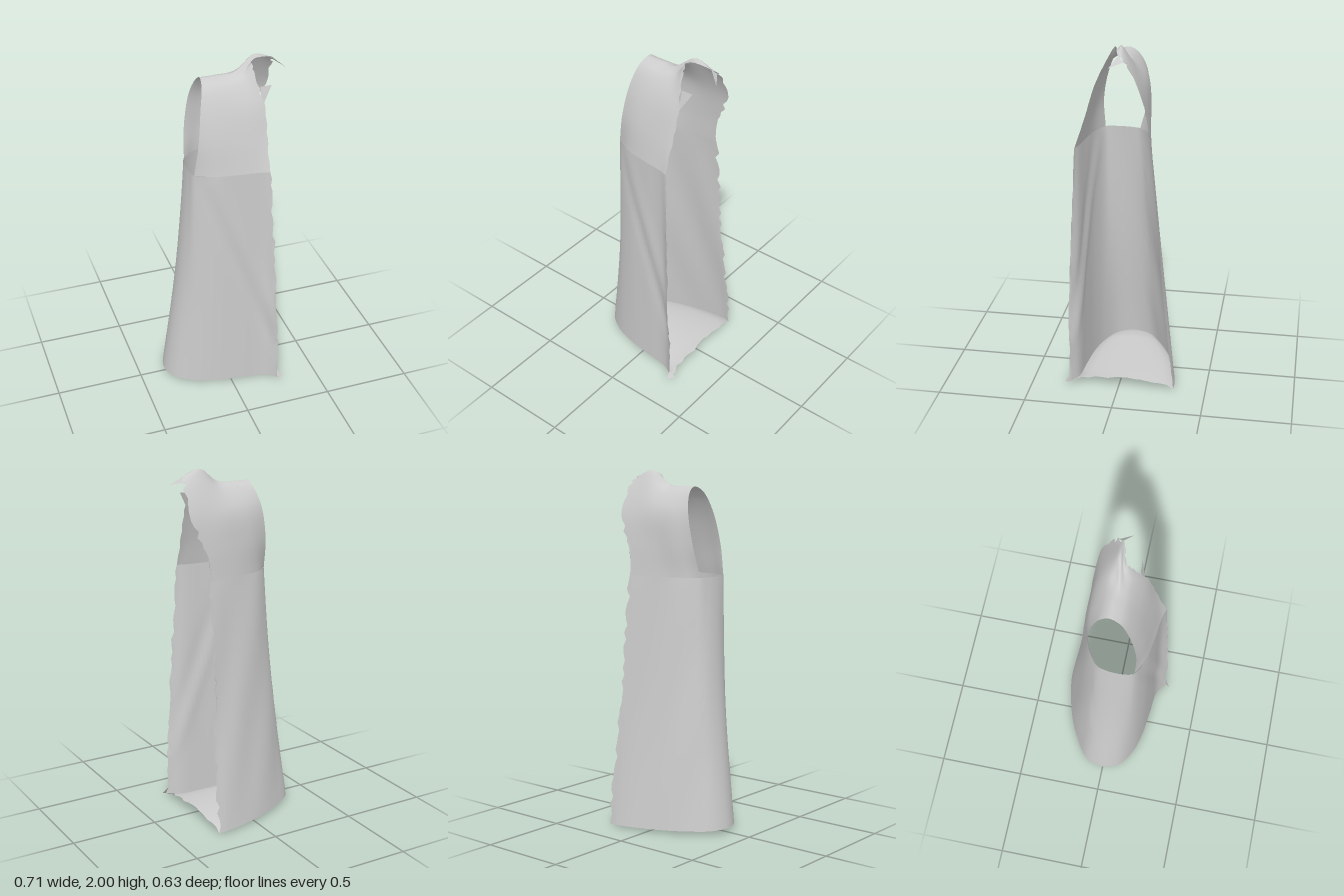
import * as THREE from 'three';

const fabric = new THREE.MeshStandardMaterial({ color: 0xcccccc, side: THREE.DoubleSide });
fabric.name = 'grey fabric';

// Small seeded generator for the torn edges, -1..1
function seeded(seed) {
  return () => {
    seed = (seed * 16807) % 2147483647;
    return (seed / 2147483647) * 2 - 1;
  };
}

const level = (y, pairs) => pairs.map(([x, z]) => [x, y, z]);
const curve = (pts) => new THREE.CatmullRomCurve3(pts);

// Grid of points -> smooth surface
function skin(name, grid) {
  const cols = grid[0].length, pos = [], index = [];
  grid.forEach((row) => row.forEach((p) => pos.push(p.x, p.y, p.z)));
  for (let r = 0; r < grid.length - 1; r++) {
    for (let c = 0; c < cols - 1; c++) {
      const a = r * cols + c, b = a + cols;
      index.push(a, b, a + 1, b, b + 1, a + 1);
    }
  }
  const geo = new THREE.BufferGeometry();
  geo.setAttribute('position', new THREE.Float32BufferAttribute(pos, 3));
  geo.setIndex(index);
  geo.computeVertexNormals();
  const mesh = new THREE.Mesh(geo, fabric);
  mesh.name = name;
  return mesh;
}

// Smooth grid through rows of key points
function loft(rows, nr, nc) {
  const keys = rows.map((row) => curve(row.map((p) => new THREE.Vector3(...p))).getPoints(nc));
  const columns = keys[0].map((_, c) => curve(keys.map((k) => k[c])).getPoints(nr));
  return Array.from({ length: nr + 1 }, (_, r) => columns.map((col) => col[r].clone()));
}

// Shallow diagonal drapery folds on front and back
function drape(p) {
  const fade = Math.max(0, Math.sin(Math.PI * Math.min(1, p.y / 1.5)));
  const d = p.x - (-0.15 + (1.35 - p.y) * 0.36);
  if (p.z > 0.12) p.z += fade * (0.008 * Math.exp(-(((d - 0.06) / 0.05) ** 2)) - 0.01 * Math.exp(-((d / 0.035) ** 2)));
  if (p.z < -0.08) p.z += fade * 0.005 * Math.sin(p.x * 22 + p.y * 5);
}

function scrap(name, ...pts) {
  const geo = new THREE.BufferGeometry().setFromPoints(pts.map((p) => new THREE.Vector3(...p)));
  geo.computeVertexNormals();
  const mesh = new THREE.Mesh(geo, fabric);
  mesh.name = name;
  return mesh;
}

export function createModel() {
  const model = new THREE.Group();
  model.name = 'sleevelessGarmentHalf';
  const rand = seeded(77);

  // Skirt: front opening edge, round the side, to back opening edge
  const hem = level(0.02, [[0.27, 0.29], [0.2, 0.243], [0.05, 0.225], [-0.1, 0.205], [-0.22, 0.17], [-0.32, 0.1],
    [-0.355, 0], [-0.32, -0.11], [-0.22, -0.185], [-0.08, -0.252], [0.08, -0.298], [0.2, -0.317], [0.255, -0.315]]);
  hem.forEach((p) => { p[1] = 0.025 - 0.02 * (p[0] + 0.36) / 0.63; });
  const waist = level(0.7, [[0.24, 0.28], [0.18, 0.24], [0.04, 0.222], [-0.1, 0.2], [-0.205, 0.155], [-0.25, 0.1],
    [-0.268, 0.03], [-0.25, -0.06], [-0.2, -0.115], [-0.1, -0.175], [0.05, -0.215], [0.17, -0.235], [0.235, -0.24]]);
  const chest = level(1.42, [[0.2, 0.25], [0.15, 0.235], [0.03, 0.22], [-0.1, 0.195], [-0.195, 0.15], [-0.208, 0.1],
    [-0.21, 0.05], [-0.205, 0], [-0.19, -0.05], [-0.12, -0.105], [0, -0.14], [0.13, -0.16], [0.22, -0.17]]);
  const body = loft([hem, waist, chest], 36, 72);
  body.forEach((row, r) => {
    if (r > 0 && r < 36) {
      row.forEach(drape);
      row[0].x += rand() * 0.008;
      row[72].x += rand() * 0.014;
    }
  });
  model.add(skin('skirt', body));

  // Yoke: from front chest over the shoulder to back chest; gap at the side is the armhole
  const yoke = loft([
    chest.slice(0, 5),
    level(1.6, [[0.2, 0.19], [0.15, 0.19], [0.04, 0.185], [-0.08, 0.175], [-0.17, 0.153]]),
    level(1.78, [[0.2, 0.135], [0.15, 0.135], [0.04, 0.13], [-0.07, 0.125], [-0.145, 0.115]]),
    [[0.165, 1.92, 0.07], [0.12, 1.89, 0.07], [0.04, 1.88, 0.07], [-0.06, 1.88, 0.07], [-0.122, 1.88, 0.066]],
    [[0.17, 1.985, 0.03], [0.12, 1.93, 0.03], [0.04, 1.91, 0.025], [-0.05, 1.91, 0.02], [-0.112, 1.91, 0.02]],
    [[0.29, 1.97, -0.008], [0.19, 2.0, -0.008], [0.09, 1.92, -0.01], [-0.02, 1.912, -0.01], [-0.11, 1.912, -0.01]],
    [[0.31, 1.93, -0.05], [0.2, 1.95, -0.045], [0.09, 1.895, -0.05], [-0.02, 1.885, -0.05], [-0.117, 1.88, -0.055]],
    level(1.78, [[0.315, -0.125], [0.2, -0.12], [0.08, -0.12], [-0.04, -0.115], [-0.142, -0.098]]),
    level(1.6, [[0.255, -0.155], [0.18, -0.15], [0.05, -0.14], [-0.07, -0.13], [-0.172, -0.095]]),
    chest.slice(8).reverse(),
  ], 54, 24);
  yoke.forEach((row, r) => {
    if (r > 0 && r < 54) row[0].x += rand() * (r > 30 ? 0.016 : 0.007);
  });
  model.add(skin('shoulderYoke', yoke));

  // Bottom panel: slightly raised in the middle, spanning front hem to back hem
  const rim = body[0];
  const base = [];
  for (let i = 0; i <= 36; i++) {
    const a = rim[i], b = rim[72 - i];
    const lift = 0.05 * Math.min(1, a.distanceTo(b) / 0.35);
    base.push(Array.from({ length: 17 }, (_, j) => {
      const p = a.clone().lerp(b, j / 16);
      p.y += lift * Math.sqrt(Math.sin((Math.PI * j) / 16) + 1e-9);
      if (i === 0 && j > 0 && j < 16) p.x += rand() * 0.012;
      return p;
    }));
  }
  model.add(skin('bottomPanel', base));

  // Torn scraps along the opening
  model.add(
    scrap('collarTip', [0.29, 1.97, -0.01], [0.31, 1.94, -0.035], [0.355, 1.92, 0.033]),
    scrap('neckScrap', [0.19, 1.86, 0.1], [0.19, 1.75, 0.13], [0.255, 1.86, 0.098]),
    scrap('hemScrap', [0.26, 0.05, 0.283], [0.26, 0, 0.315], [0.3, 0.02, 0.285]),
  );
  return model;
}
